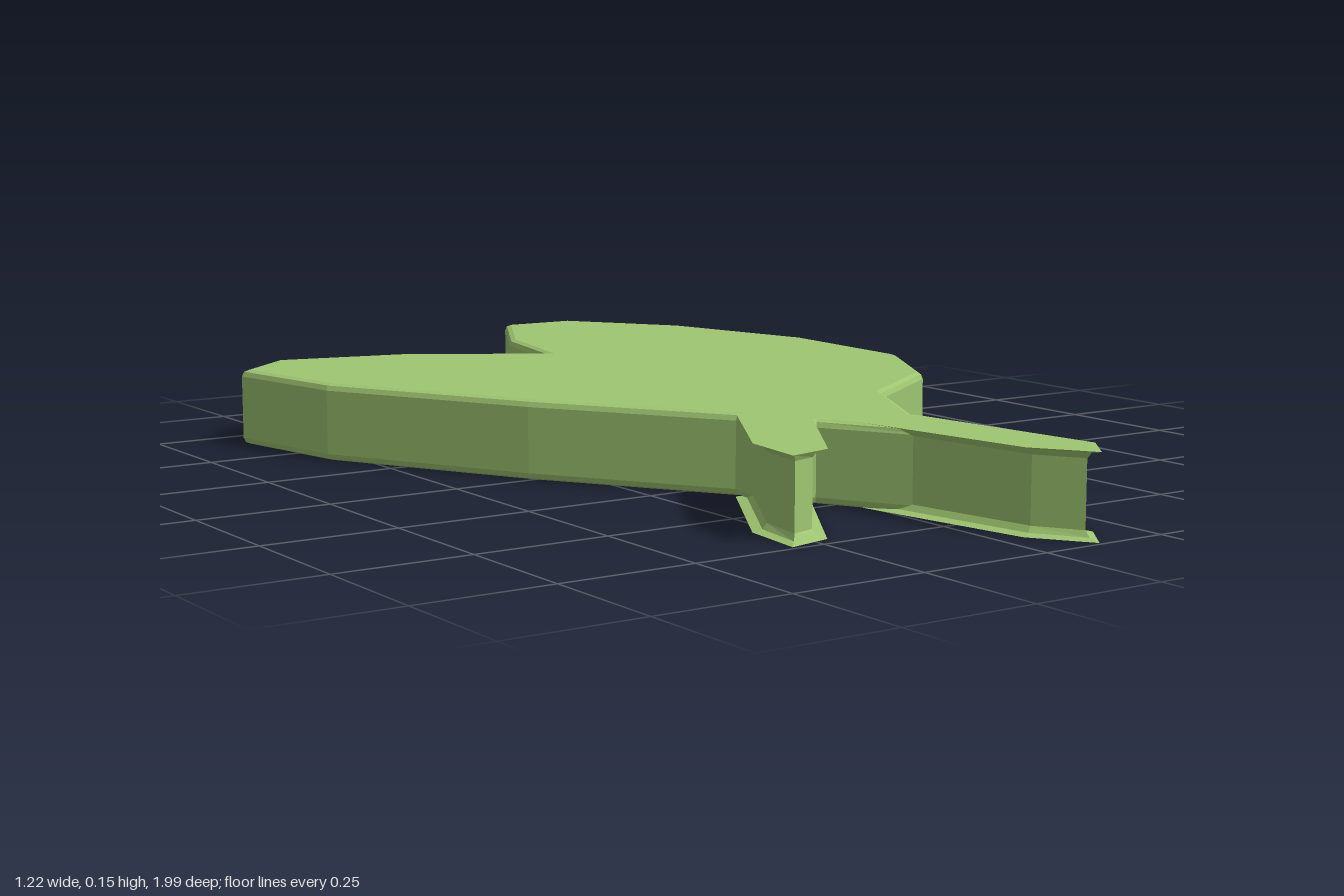
import * as THREE from 'three';

const HEIGHT = 0.148;

// Plan outlines as [x, z] pairs
const LEAF = [
  [-0.612, -0.655], [-0.49, -0.757], [-0.225, -0.692], [0.015, -0.53], [0.06, -0.76],
  [0.19, -1], [0.35, -0.993], [0.51, -0.77], [0.608, -0.44], [0.602, -0.11],
  [0.47, 0.13], [0.25, 0.28], [0.12, 0.53], [0.062, 0.69], [-0.06, 0.48],
  [-0.15, 0.455], [-0.13, 0.34], [-0.35, 0], [-0.56, -0.39],
];
const LEFT_STEM = [
  [0.12, 0.53], [0.175, 0.92], [0.12, 0.993], [0.05, 0.89], [-0.01, 0.55], [0.02, 0.45],
];
const RIGHT_STEM = [
  [-0.06, 0.47], [-0.22, 0.72], [-0.305, 0.74], [-0.29, 0.61], [-0.13, 0.34], [-0.06, 0.38],
];

// Upright slab; a positive bevel rounds its rims, a negative one
// sinks the walls in and leaves thin flanges at top and bottom
function slab(name, outline, bevel, thickness, offset, material) {
  const shape = new THREE.Shape(outline.map(([x, z]) => new THREE.Vector2(x, -z)));
  const geometry = new THREE.ExtrudeGeometry(shape, {
    depth: HEIGHT - 2 * thickness,
    bevelEnabled: true,
    bevelSize: bevel,
    bevelOffset: offset,
    bevelThickness: thickness,
    bevelSegments: 2,
  });
  geometry.rotateX(-Math.PI / 2);
  geometry.translate(0, thickness, 0);
  const mesh = new THREE.Mesh(geometry, material);
  mesh.name = name;
  return mesh;
}

export function createModel() {
  const green = new THREE.MeshStandardMaterial({ color: 0x9fc671, side: THREE.DoubleSide });
  green.name = 'leafGreen';

  const model = new THREE.Group();
  model.name = 'heartLeaf';
  model.add(
    slab('leafBody', LEAF, 0.013, 0.013, -0.013, green),
    // Forked stems with an I-shaped section
    slab('leftStem', LEFT_STEM, -0.024, 0.015, 0, green),
    slab('rightStem', RIGHT_STEM, -0.024, 0.015, 0, green),
  );
  return model;
}
